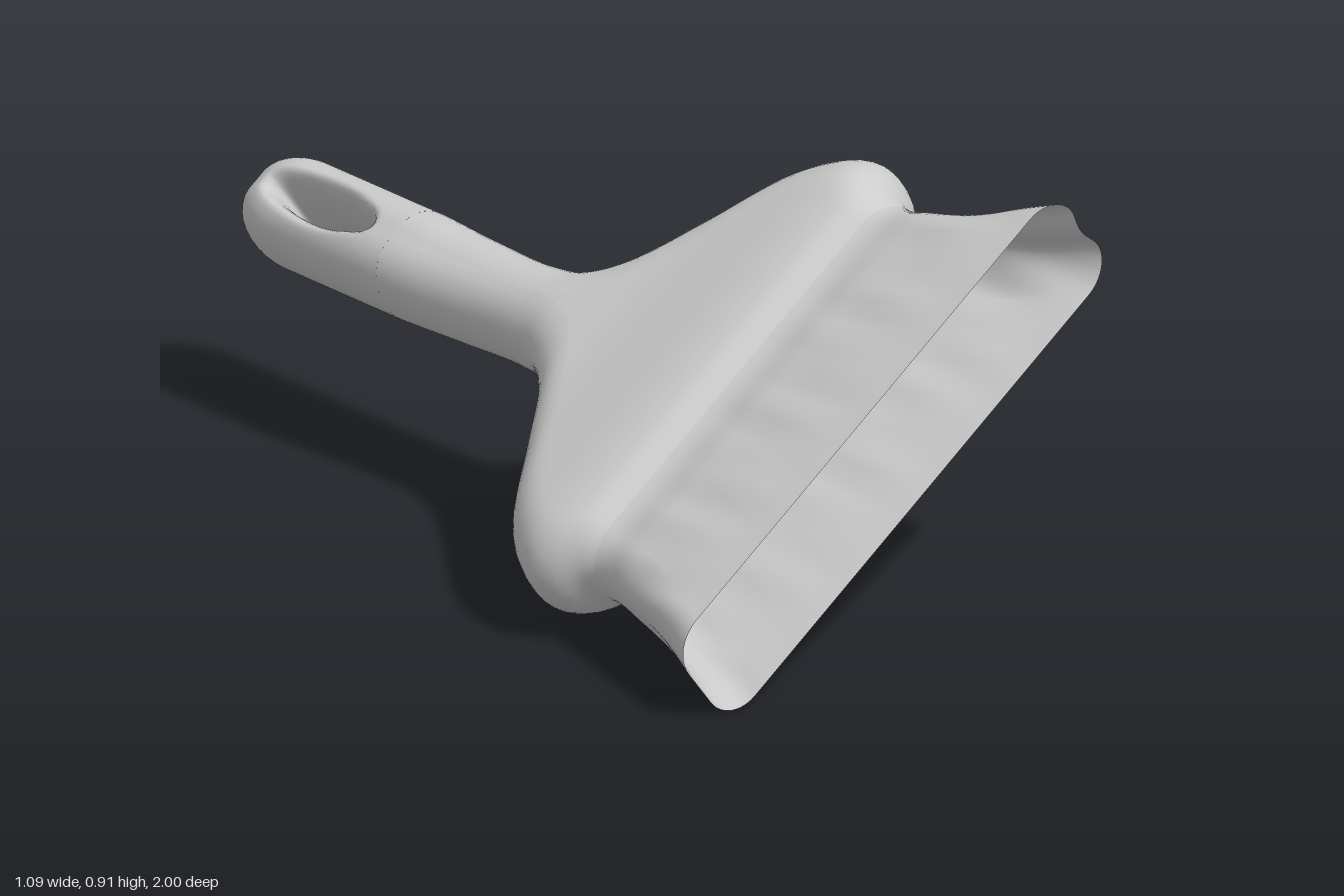
import * as THREE from 'three';
import { mergeVertices } from 'three/addons/utils/BufferGeometryUtils.js';

// The brush lies tilted about its long axis
const TILT = 0.655;
const C = Math.cos(TILT), S = Math.sin(TILT);
const place = (cx, cy, u, v, z) => [cx + u * C - v * S, cy + u * S + v * C, z];

// Grip end: half width, half thickness, half flat, centre, and where the shaft meets it
const GRIP = { L: 0.114, T: 0.115, flat: 0.02, cx: -0.048, cy: 0.449, z: -0.48 };
const grip = [GRIP.L, GRIP.T, GRIP.L - GRIP.flat, GRIP.T, GRIP.cx, GRIP.cy];

// Stations along z: z, half width, half thickness, corner radii (width, thickness), centre x, centre y
const stations = [
  [-0.6, ...grip],
  [GRIP.z, ...grip],
  [-0.3, 0.107, 0.112, 0.095, 0.112, -0.04, 0.444],
  [-0.1, 0.105, 0.116, 0.1, 0.115, -0.03, 0.442],
  [0.0, 0.125, 0.12, 0.12, 0.117, -0.025, 0.445],
  [0.1, 0.21, 0.117, 0.16, 0.114, -0.02, 0.45],
  [0.2, 0.36, 0.118, 0.18, 0.113, -0.016, 0.45],
  [0.3, 0.5, 0.123, 0.17, 0.118, -0.015, 0.452],
  [0.38, 0.556, 0.129, 0.145, 0.124, -0.015, 0.452],
  [0.45, 0.578, 0.133, 0.135, 0.128, -0.015, 0.452],
  [0.5, 0.562, 0.131, 0.13, 0.125, -0.015, 0.452],
  [0.54, 0.528, 0.122, 0.115, 0.115, -0.015, 0.452],
  [0.58, 0.514, 0.096, 0.1, 0.09, -0.015, 0.452],
  [0.7, 0.532, 0.105, 0.1, 0.088, -0.012, 0.452],
  [0.85, 0.572, 0.116, 0.095, 0.083, -0.008, 0.454],
  [1.0, 0.634, 0.126, 0.085, 0.08, 0, 0.455],
];
const profile = new THREE.CubicInterpolant(
  stations.map((s) => s[0]), stations.flatMap((s) => s.slice(1)), 6);

// Rounded rectangle, counter-clockwise, with subdivided straight runs
function section(L, T, rx, ry) {
  const pts = [], arc = 10;
  const corners = [[1, 1], [-1, 1], [-1, -1], [1, -1]];
  corners.forEach(([sx, sy], k) => {
    for (let i = 0; i <= arc; i++) {
      const a = (k + i / arc) * Math.PI / 2;
      pts.push([sx * (L - rx) + rx * Math.cos(a), sy * (T - ry) + ry * Math.sin(a)]);
    }
    const [u, v] = pts[pts.length - 1];
    const n = k % 2 ? 5 : 28;
    for (let i = 1; i < n; i++) {
      const t = 1 - 2 * i / n;
      pts.push(k % 2 ? [u, v * t] : [u * t, v]);
    }
  });
  return pts;
}

// Skin rows of points: a tube closes each row, a band joins the last row to the first
function skin(name, rows, band = false) {
  const n = rows[0].length, m = rows.length, index = [];
  for (let j = 0; j < (band ? m : m - 1); j++) {
    for (let i = 0; i < (band ? n - 1 : n); i++) {
      const k = ((j + 1) % m) * n, i1 = (i + 1) % n;
      const a = j * n + i, b = j * n + i1, c = k + i, d = k + i1;
      index.push(a, b, c, b, d, c);
    }
  }
  let geo = new THREE.BufferGeometry();
  geo.setAttribute('position', new THREE.Float32BufferAttribute(rows.flat(2), 3));
  geo.setIndex(index);
  geo = mergeVertices(geo);
  geo.computeVertexNormals();
  const mesh = new THREE.Mesh(geo, new THREE.MeshStandardMaterial({
    color: 0xcccccc, roughness: 0.8, side: THREE.DoubleSide,
  }));
  mesh.name = name;
  return mesh;
}

// Hollow shell between two z positions, with an optional surface offset
function shell(name, z0, z1, steps, shape = (u, v) => [u, v]) {
  const rows = [];
  for (let j = 0; j <= steps; j++) {
    const z = z0 + (z1 - z0) * j / steps;
    const [L, T, rx, ry, cx, cy] = profile.evaluate(z);
    rows.push(section(L, T, Math.min(rx, L), Math.min(ry, T)).map(([u, v]) => {
      const [a, b] = shape(u, v, z);
      return place(cx, cy, a, b, z);
    }));
  }
  return skin(name, rows);
}

// Bristle skirt: soft folds on the broad sides, a slight dent down one narrow end
function bristleFolds(u, v, z) {
  const k = THREE.MathUtils.clamp((z - 0.58) / 0.42, 0, 1);
  const fold = 0.003 * Math.sin(Math.PI * k) * (Math.sin(u * 38 + 4 * z) + Math.sin(u * 61 - 3 * z));
  const dent = u > 0.45 ? 0.014 * k * Math.exp(-((v / 0.04) ** 2)) : 0;
  return [u - dent, v + Math.sign(v) * fold];
}

// Rounded grip end pierced by a slot: top and bottom sheets run from the
// outline to the slot's rim, where they meet
function slottedGrip() {
  const rows = [], around = 96, across = 18, zc = -0.73, tip = 0.15, lip = 0.038;
  const { L, T, flat, cx, cy } = GRIP;
  const taper = (z) => Math.sqrt(Math.max(0, 1 - Math.max(0, (tip - 1 - z) / tip) ** 2));
  for (let j = 0; j < around; j++) {
    const t = j / around * Math.PI * 2, c = Math.cos(t), s = Math.sin(t);
    const rim = new THREE.Vector2(0.03 * c, zc + 0.15 * s);
    const edge = new THREE.Vector2();
    if (s >= 0) {
      const m = Math.max(Math.abs(c), s);
      edge.set(L * Math.sin(Math.PI / 2 * c / m), zc + (GRIP.z - zc) * s / m);
    } else {
      const z = zc + (1 + zc) * s;
      edge.set(Math.abs(c) < 1e-6 ? 0 : Math.sign(c) * (flat + (L - flat) * taper(z)), z);
    }
    const row = [];
    for (let i = -across; i <= across; i++) {
      const w = (1 - Math.cos(Math.PI * i / across)) / 2;
      const p = rim.clone().lerp(edge, w);
      const q = Math.max(0, Math.abs(p.x) - flat) / (L - flat);
      const body = T * Math.sqrt(Math.max(0, taper(p.y) ** 2 - q * q));
      const d = Math.min(1, p.distanceTo(rim) / lip);
      const v = -Math.sign(i) * body * Math.sqrt(1 - (1 - d) ** 2);
      row.push(place(cx, cy, p.x, v, p.y));
    }
    rows.push(row);
  }
  return skin('slottedGrip', rows, true);
}

export function createModel() {
  const group = new THREE.Group();
  group.name = 'handBrush';
  group.add(
    shell('handleAndHead', GRIP.z, 0.58, 70),
    shell('bristleSkirt', 0.58, 1, 24, bristleFolds),
    slottedGrip(),
  );
  return group;
}
